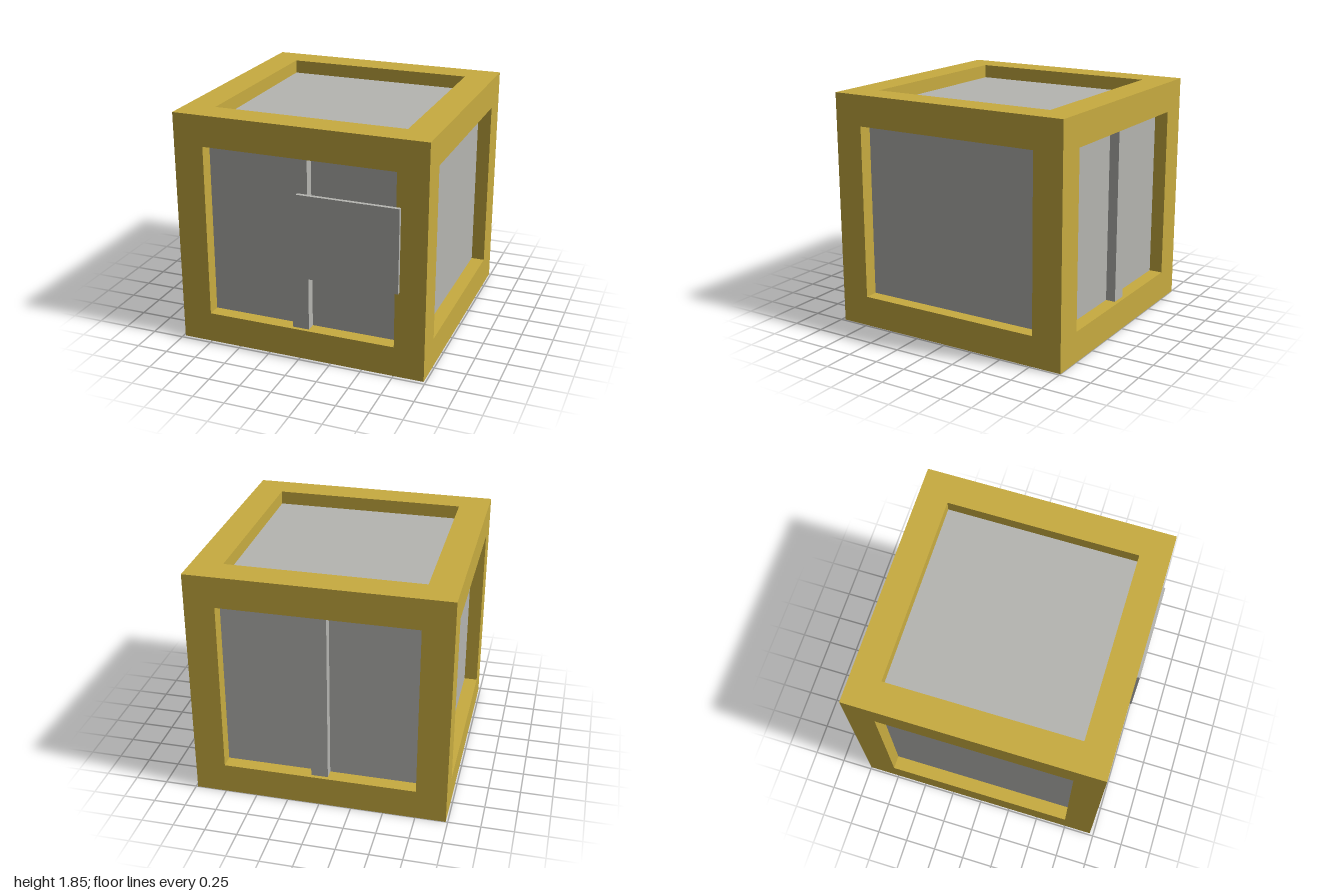
import * as THREE from 'three';

export function createModel() {
  const gold = new THREE.MeshStandardMaterial({ name: 'gold frame', color: 0xc8ac40 });
  const grey = new THREE.MeshStandardMaterial({ name: 'grey panel', color: 0xb5b5b1 });
  const model = new THREE.Group();
  model.name = 'crate';

  // Outer bounds and the edges of the openings, as [outer low, inner low, inner high, outer high]
  const X = [-0.985, -0.75, 0.75, 0.985];
  const Y = [0, 0.24, 1.605, 1.845];
  const Z = [-1, -0.765, 0.74, 0.97];
  const recess = 0.107;

  // Box spanning two corners
  function box(name, material, [x0, x1], [y0, y1], [z0, z1], parent = model) {
    const mesh = new THREE.Mesh(new THREE.BoxGeometry(x1 - x0, y1 - y0, z1 - z0), material);
    mesh.position.set((x0 + x1) / 2, (y0 + y1) / 2, (z0 + z1) / 2);
    mesh.name = name;
    parent.add(mesh);
  }

  // Frame: four corner posts joined by rails along x and z
  const frame = new THREE.Group();
  frame.name = 'frame';
  model.add(frame);
  const low = (a) => [a[0], a[1]];
  const mid = (a) => [a[1], a[2]];
  const high = (a) => [a[2], a[3]];
  for (const a of [low, high]) {
    for (const b of [low, high]) {
      box('cornerPost', gold, a(X), [Y[0], Y[3]], b(Z), frame);
      box('crossRail', gold, mid(X), a(Y), b(Z), frame);
      box('sideRail', gold, a(X), b(Y), mid(Z), frame);
    }
  }

  // Inner body showing as a recessed panel on all six sides
  const inset = (a) => [a[0] + recess, a[3] - recess];
  box('innerPanels', grey, inset(X), inset(Y), inset(Z));

  // Upright ribs on the front and back panels
  const rib = 0.077;
  const [zBack, zFront] = inset(Z);
  box('frontRib', grey, [-0.065, 0.065], mid(Y), [zFront, zFront + rib]);
  box('backRib', grey, [-0.065, 0.065], mid(Y), [zBack - rib, zBack]);

  // Plate mounted on the front
  box('frontPlate', grey, [0, 0.785], [0.69, 1.345], [0.97, 1]);

  return model;
}
